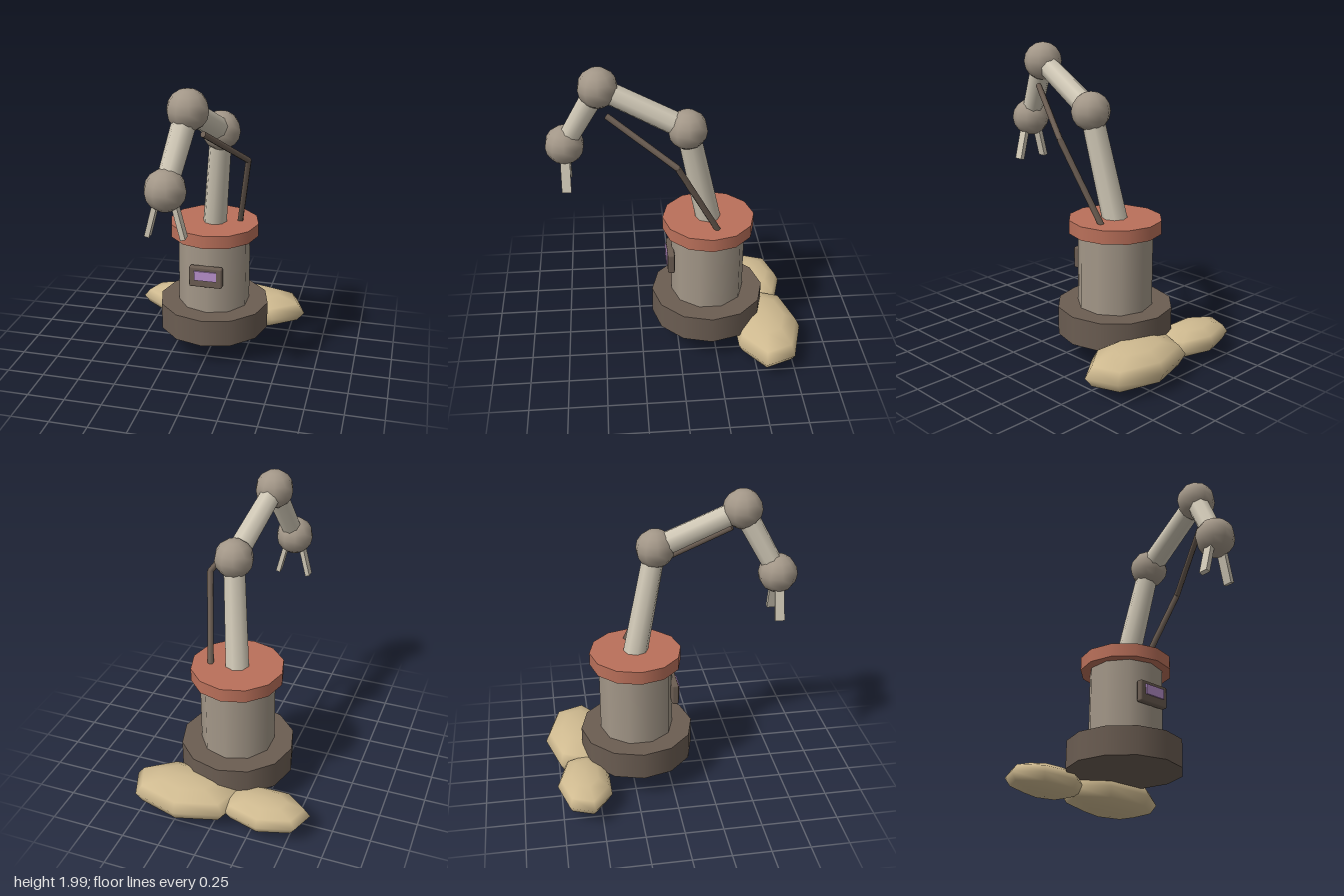
import * as THREE from 'three';
import { RoundedBoxGeometry } from 'three/addons/geometries/RoundedBoxGeometry.js';

const mat = (name, color) => Object.assign(new THREE.MeshStandardMaterial({ color }), { name });
const V = (x, y, z) => new THREE.Vector3(x, y, z);

export function createModel() {
  const group = new THREE.Group();
  const darkMetal = mat('dark brown metal', 0x6b5d52);
  const greyMetal = mat('warm grey metal', 0xa39788);
  const paleMetal = mat('pale arm', 0xd0c8b6);
  const redPaint = mat('faded red', 0xba705a);
  const stone = mat('sandy stone', 0xcfba90);
  const lilac = mat('lilac screen', 0xb890cc);

  const add = (name, geometry, material, x = 0, y = 0, z = 0) => {
    const mesh = new THREE.Mesh(geometry, material);
    mesh.name = name;
    mesh.position.set(x, y, z);
    group.add(mesh);
    return mesh;
  };

  // Tapered rod running from a to b
  const rod = (name, a, b, ra, rb, sides, material) => {
    const dir = b.clone().sub(a);
    const mid = a.clone().add(b).multiplyScalar(0.5);
    const mesh = add(name, new THREE.CylinderGeometry(rb, ra, dir.length(), sides), material, mid.x, mid.y, mid.z);
    mesh.quaternion.setFromUnitVectors(V(0, 1, 0), dir.normalize());
  };

  // Pedestal: base, column, collar
  const cx = 0.008, cz = -0.208;
  const disc = (name, r, y0, y1, sides, material) =>
    add(name, new THREE.CylinderGeometry(r, r, y1 - y0, sides), material, cx, (y0 + y1) / 2, cz);
  disc('base', 0.377, 0.175, 0.36, 12, darkMetal);
  disc('column', 0.244, 0.36, 0.85, 10, greyMetal);
  disc('collar', 0.302, 0.85, 0.938, 12, redPaint);

  // Control panel on the column front
  add('panelFrame', new RoundedBoxGeometry(0.225, 0.145, 0.046, 1, 0.012), darkMetal, cx, 0.63, 0.043);
  add('screen', new THREE.BoxGeometry(0.15, 0.066, 0.0095), lilac, cx, 0.643, 0.0705);

  // Arm segments and ball joints
  const root = V(cx, 0.9, -0.212);
  const joints = [V(0.082, 1.612, -0.062), V(0.006, 1.873, 0.475), V(-0.07, 1.46, 0.7)];
  const radii = [[0.081, 0.071], [0.076, 0.07], [0.074, 0.066]];
  const names = ['lowerArm', 'upperArm', 'forearm'];
  const balls = ['shoulderJoint', 'elbowJoint', 'wristJoint'];
  joints.forEach((p, i) => {
    rod(names[i], i ? joints[i - 1] : root, p, ...radii[i], 8, paleMetal);
    add(balls[i], new THREE.SphereGeometry(0.126, 10, 8), greyMetal, p.x, p.y, p.z);
  });

  // Gripper fingers, leaning inwards
  for (const s of [-1, 1]) {
    const finger = add(s < 0 ? 'rightFinger' : 'leftFinger',
      new THREE.BoxGeometry(0.03, 0.245, 0.06), paleMetal, -0.07 + s * 0.078, 1.293, 0.7);
    finger.rotation.z = s * 0.25;
  }

  // Bent cable beside the arm
  const bend = V(0.276, 1.45, 0.015);
  rod('lowerCable', V(0.172, 0.91, -0.262), bend, 0.02, 0.02, 6, darkMetal);
  rod('upperCable', bend, V(0.085, 1.723, 0.43), 0.02, 0.02, 6, darkMetal);
  add('cableBend', new THREE.SphereGeometry(0.02, 6, 4), darkMetal, bend.x, bend.y, bend.z);

  // Rocks behind the base
  const rock = (name, x, y, z, rx, ry, rz) => {
    const g = new THREE.SphereGeometry(1, 7, 6);
    g.rotateY(-Math.PI / 2);
    g.scale(rx, ry, rz);
    add(name, g, stone, x, y, z);
  };
  rock('largeRock', 0.22, 0.135, -0.597, 0.392, 0.13, 0.233);
  rock('smallRock', -0.32, 0.136, -0.593, 0.3, 0.101, 0.183);

  return group;
}
